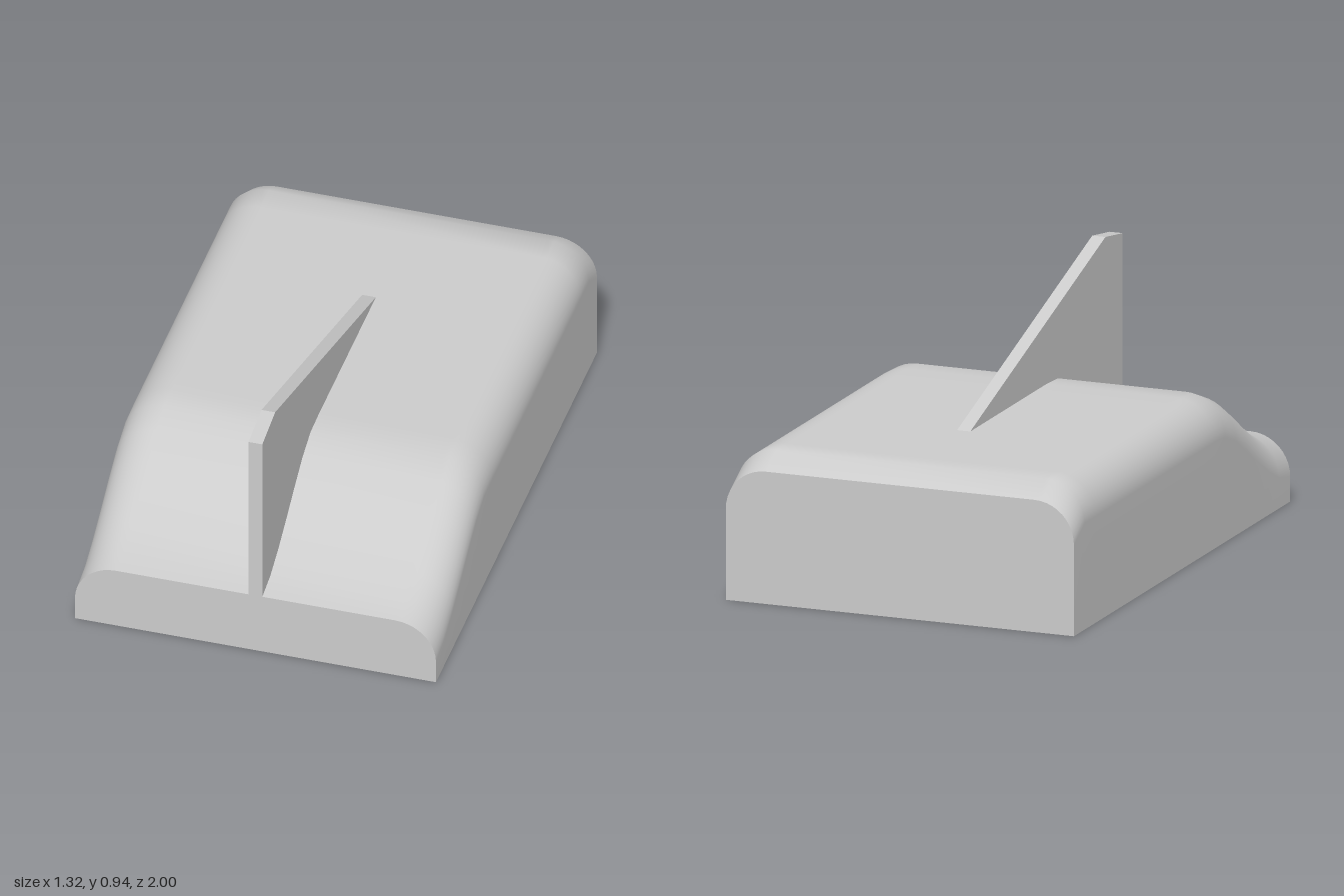
import * as THREE from 'three';

const grey = new THREE.MeshStandardMaterial({ color: 0xcccccc });

// Roof line from back to front: [z, y]
const ROOF = [[-1, 0.48], [-0.9, 0.535], [0.3, 0.535], [0.4, 0.53], [0.5, 0.492],
  [0.6, 0.432], [0.7, 0.367], [0.8, 0.307], [0.9, 0.26], [1, 0.24]];
const WALL = 0.06, HALF = 0.66;

function roofAt(z) {
  for (let i = 1; i < ROOF.length; i++) {
    const [z0, y0] = ROOF[i - 1], [z1, y1] = ROOF[i];
    if (z <= z1) return y0 + (y1 - y0) * (z - z0) / (z1 - z0);
  }
  return ROOF[ROOF.length - 1][1];
}

// Arch with rounded shoulders, running from +x over the top to -x
function arch(half, top, r) {
  const pts = [new THREE.Vector2(half, 0)];
  for (const side of [1, -1]) {
    for (let k = 0; k <= 10; k++) {
      const a = (side > 0 ? k : 10 - k) / 10 * Math.PI / 2;
      pts.push(new THREE.Vector2(side * (half - r + r * Math.cos(a)), top - r + r * Math.sin(a)));
    }
  }
  pts.push(new THREE.Vector2(-half, 0));
  return pts;
}
const outerArch = z => arch(HALF, roofAt(z), 0.15);
const innerArch = z => arch(HALF - WALL, roofAt(z) - WALL, 0.11);

// Skin stretched over arches along z
function loft(section, end, inward) {
  const zs = [-end];
  for (let i = -9; i <= 9; i++) zs.push(i / 10);
  zs.push(end);
  const pos = [], index = [], n = section(0).length;
  for (const z of zs) for (const p of section(z)) pos.push(p.x, p.y, z);
  for (let i = 0; i < zs.length - 1; i++) {
    for (let j = 0; j < n - 1; j++) {
      const a = i * n + j, b = a + 1, c = a + n, d = c + 1;
      if (inward) index.push(a, c, b, b, c, d);
      else index.push(a, b, c, b, d, c);
    }
  }
  const g = new THREE.BufferGeometry();
  g.setAttribute('position', new THREE.Float32BufferAttribute(pos, 3));
  g.setIndex(index);
  g.computeVertexNormals();
  return g;
}

// Flat end wall facing +z or -z
function endWall(section, z, facing) {
  const g = new THREE.ShapeGeometry(new THREE.Shape(section(z)));
  if (facing < 0) g.rotateY(Math.PI);
  return g.translate(0, 0, z);
}

function rect(w, d, Type) {
  return new Type([[-w, -d], [w, -d], [w, d], [-w, d]].map(p => new THREE.Vector2(...p)));
}

export function createModel() {
  const model = new THREE.Group();
  const add = (name, geometry, parent = model) => {
    const m = new THREE.Mesh(geometry, grey);
    m.name = name;
    parent.add(m);
    return m;
  };

  // Hollow body
  const body = new THREE.Group();
  body.name = 'body';
  model.add(body);
  const inner = 1 - WALL;
  add('outerSkin', loft(outerArch, 1, false), body);
  add('innerSkin', loft(innerArch, inner, true), body);
  add('frontFace', endWall(outerArch, 1, 1), body);
  add('backFace', endWall(outerArch, -1, -1), body);
  add('frontInnerFace', endWall(innerArch, inner, -1), body);
  add('backInnerFace', endWall(innerArch, -inner, 1), body);
  const rim = rect(HALF, 1, THREE.Shape);
  rim.holes.push(rect(HALF - WALL, inner, THREE.Path));
  add('bottomRim', new THREE.ShapeGeometry(rim).rotateX(Math.PI / 2), body);

  // Rails along both sides of the bottom opening
  const railIn = 0.335, railOut = HALF - WALL;
  for (const side of [1, -1]) {
    const rail = add(side > 0 ? 'leftRail' : 'rightRail',
      new THREE.BoxGeometry(railOut - railIn, 0.12, 2 * inner));
    rail.position.set(side * (railIn + railOut) / 2, 0.06, 0);
  }

  // Upright fin whose lower edge sinks into the roof
  const fin = new THREE.Shape();
  fin.moveTo(1, 0.91);
  fin.lineTo(0.84, 0.935);
  fin.lineTo(-0.41, 0.535);
  for (const [z, y] of [[-0.41, 0.535], ...ROOF.slice(2)]) fin.lineTo(z, y - 0.03);
  fin.closePath();
  const finGeometry = new THREE.ExtrudeGeometry(fin, { depth: 0.05, bevelEnabled: false });
  finGeometry.translate(0, 0, -0.025).rotateY(-Math.PI / 2);
  add('fin', finGeometry);

  return model;
}
